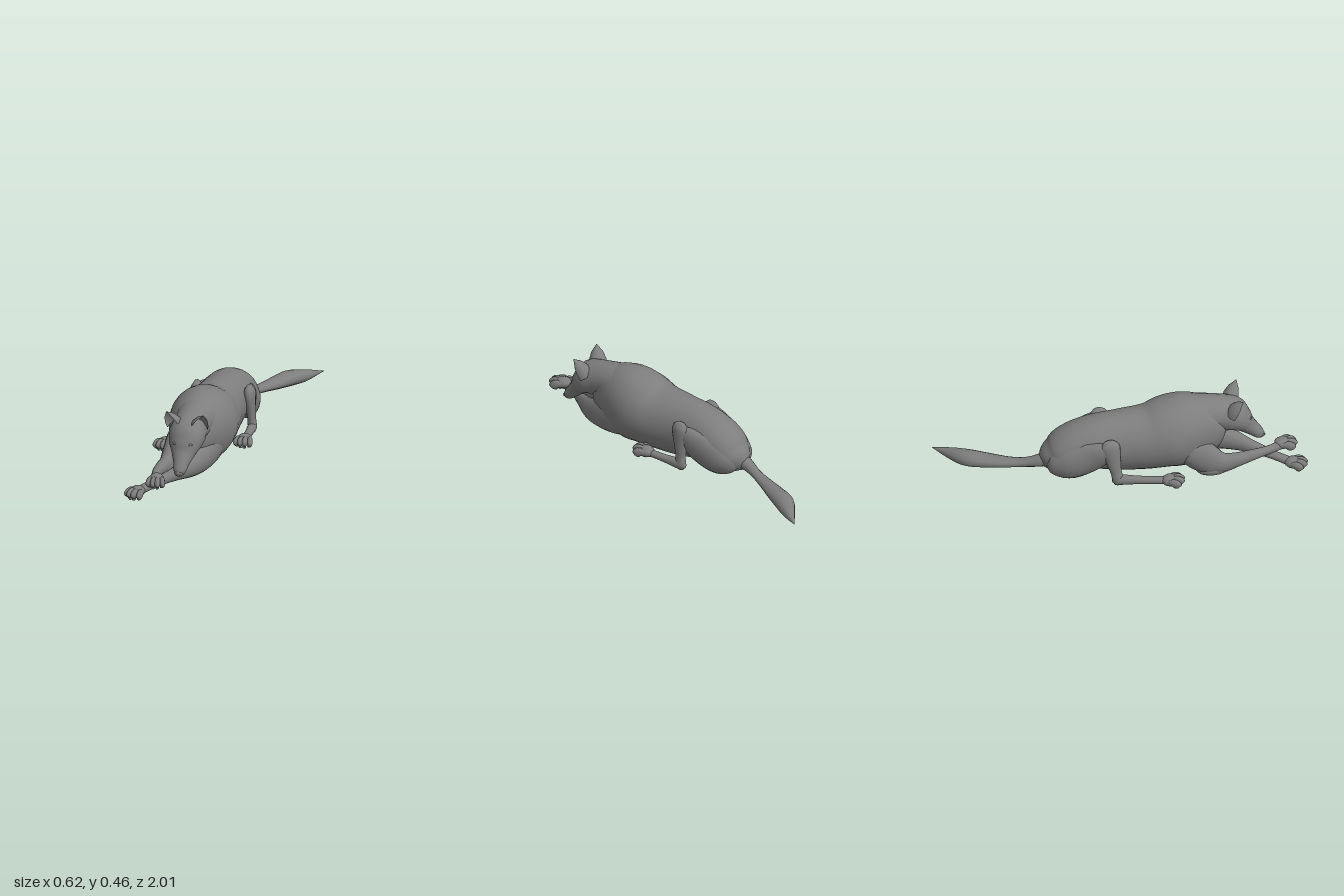
import * as THREE from 'three';

const material = new THREE.MeshStandardMaterial({ color: 0x7e7e7e });
const thinMaterial = new THREE.MeshStandardMaterial({ color: 0x7e7e7e, side: THREE.DoubleSide });
const X = new THREE.Vector3(1, 0, 0);

function add(parent, name, geometry, mat = material) {
  const mesh = new THREE.Mesh(geometry, mat);
  mesh.name = name;
  parent.add(mesh);
  return mesh;
}

// Smooth skin over elliptical sections [x, y, z, half width, half height]
function loft(sections, sides = 16, steps = 4) {
  const curve = (pick) => new THREE.CatmullRomCurve3(sections.map(pick), false, 'catmullrom', 0.5);
  const path = curve((s) => new THREE.Vector3(s[0], s[1], s[2]));
  const radii = curve((s) => new THREE.Vector3(s[3], s[4], 0));
  const rings = (sections.length - 1) * steps;
  const pos = [], index = [];
  for (let i = 0; i <= rings; i++) {
    const p = path.getPoint(i / rings), r = radii.getPoint(i / rings);
    const t = path.getTangent(i / rings);
    const n = t.clone().cross(X).normalize();
    const s = n.clone().cross(t);
    for (let j = 0; j < sides; j++) {
      const a = (j / sides) * Math.PI * 2;
      const v = p.clone().addScaledVector(s, Math.cos(a) * r.x).addScaledVector(n, Math.sin(a) * r.y);
      pos.push(v.x, v.y, v.z);
      if (i < rings) {
        const a0 = i * sides + j, b0 = i * sides + (j + 1) % sides;
        index.push(a0, b0, a0 + sides, b0, b0 + sides, a0 + sides);
      }
    }
  }
  // Close both ends
  const first = pos.length / 3, last = rings * sides;
  pos.push(...sections[0].slice(0, 3), ...sections[sections.length - 1].slice(0, 3));
  for (let j = 0; j < sides; j++) {
    const k = (j + 1) % sides;
    index.push(first, k, j, first + 1, last + j, last + k);
  }
  const g = new THREE.BufferGeometry();
  g.setAttribute('position', new THREE.Float32BufferAttribute(pos, 3));
  g.setIndex(index);
  g.computeVertexNormals();
  return g;
}

function ball(parent, name, x, y, z, rx, ry, rz) {
  const mesh = add(parent, name, new THREE.SphereGeometry(1, 12, 8));
  mesh.position.set(x, y, z);
  mesh.scale.set(rx, ry, rz);
  return mesh;
}

// Paw with four toes and pads, pointing along its own +z
function paw(parent, name, x, y, z, yaw, pitch = 0) {
  const g = new THREE.Group();
  g.name = name;
  ball(g, 'pawBack', 0, 0.002, -0.006, 0.042, 0.032, 0.052);
  for (let i = 0; i < 4; i++) {
    const u = i - 1.5, inner = Math.abs(u) < 1;
    const toe = add(g, 'toe', loft([
      [0, 0.004, -0.03, 0.01, 0.014], [0, 0.008, 0, 0.016, 0.024], [0, 0.001, 0.022, 0.016, 0.026],
      [0, -0.004, 0.036, 0.012, 0.019], [0, -0.008, 0.041, 0.003, 0.006],
    ], 10, 2));
    toe.position.set(u * 0.0225, inner ? 0.004 : -0.003, inner ? 0.026 : 0.01);
    toe.rotation.y = u * 0.13;
    ball(g, 'toePad', u * 0.022, -0.022, inner ? 0.043 : 0.026, 0.01, 0.008, 0.014);
  }
  ball(g, 'mainPad', 0, -0.025, -0.005, 0.022, 0.009, 0.018);
  g.position.set(x, y, z);
  g.rotation.set(pitch, yaw, 0, 'YXZ');
  parent.add(g);
}

export function createModel() {
  const model = new THREE.Group();
  model.name = 'lyingWolf';

  // Trunk from the sloping rump to the chest
  add(model, 'body', loft([
    [0, 0.105, -0.445, 0.025, 0.035], [0, 0.122, -0.41, 0.08, 0.075],
    [0, 0.142, -0.365, 0.112, 0.1], [-0.005, 0.18, -0.29, 0.135, 0.135],
    [-0.012, 0.212, -0.16, 0.142, 0.157], [-0.016, 0.21, 0, 0.15, 0.18],
    [-0.02, 0.214, 0.15, 0.173, 0.188], [-0.02, 0.235, 0.27, 0.188, 0.21],
    [-0.022, 0.24, 0.37, 0.172, 0.213], [-0.025, 0.22, 0.47, 0.132, 0.18],
    [-0.025, 0.185, 0.545, 0.08, 0.11], [-0.025, 0.175, 0.57, 0.02, 0.03],
  ], 24));

  // Neck, skull and muzzle in one sweep, bending down to the nose
  const head = new THREE.Group();
  head.name = 'head';
  model.add(head);
  add(head, 'neckAndHead', loft([
    [-0.015, 0.33, 0.38, 0.13, 0.112], [-0.015, 0.325, 0.48, 0.108, 0.108],
    [-0.015, 0.318, 0.56, 0.1, 0.1], [-0.015, 0.3, 0.62, 0.103, 0.098],
    [-0.015, 0.263, 0.665, 0.09, 0.074], [-0.015, 0.222, 0.7, 0.066, 0.051],
    [-0.015, 0.18, 0.74, 0.045, 0.04], [-0.015, 0.145, 0.772, 0.034, 0.031],
    [-0.015, 0.125, 0.788, 0.016, 0.016],
  ], 20));
  ball(head, 'nose', -0.015, 0.137, 0.79, 0.024, 0.016, 0.015);
  for (const s of [-1, 1]) {
    const eye = ball(head, 'eye', -0.015 + s * 0.042, 0.284, 0.713, 0.015, 0.008, 0.011);
    eye.rotation.z = s * 0.12;
    ball(head, 'nostril', -0.015 + s * 0.01, 0.136, 0.803, 0.005, 0.004, 0.004);
    // Cupped ear, leaning forward and outward, open to the front
    const profile = [[0.052, 0], [0.048, 0.035], [0.033, 0.075], [0, 0.117]];
    const ear = add(head, 'ear', new THREE.LatheGeometry(
      profile.map(([r, h]) => new THREE.Vector2(r, h)), 12, Math.PI * 0.42, Math.PI * 1.16), thinMaterial);
    ear.position.set(-0.015 + s * 0.066, 0.345, 0.625);
    ear.rotation.set(0.5, s * 0.3, -s * 0.38);
  }

  // Tail, thin at the root, bushy and pointed at the end
  add(model, 'tail', loft([
    [0, 0.14, -0.38, 0.05, 0.05], [0, 0.116, -0.45, 0.038, 0.037],
    [0.025, 0.095, -0.53, 0.03, 0.026], [0.06, 0.082, -0.62, 0.038, 0.025],
    [0.105, 0.074, -0.72, 0.05, 0.034], [0.155, 0.068, -0.82, 0.056, 0.042],
    [0.22, 0.06, -0.9, 0.037, 0.034], [0.304, 0.055, -1, 0.001, 0.001],
  ], 12));

  // Right foreleg lies over the left one
  add(model, 'rightForeleg', loft([
    [-0.1, 0.24, 0.26, 0.03, 0.04], [-0.13, 0.18, 0.36, 0.06, 0.09],
    [-0.147, 0.105, 0.46, 0.052, 0.09], [-0.155, 0.075, 0.54, 0.042, 0.063],
    [-0.16, 0.087, 0.62, 0.036, 0.044], [-0.155, 0.108, 0.73, 0.027, 0.03],
    [-0.14, 0.12, 0.82, 0.023, 0.024], [-0.118, 0.13, 0.89, 0.03, 0.026],
  ]));
  ball(model, 'rightElbow', -0.15, 0.04, 0.49, 0.043, 0.04, 0.095);
  paw(model, 'rightForepaw', -0.113, 0.13, 0.895, 0.12, 0.15);

  // Left foreleg crosses beneath toward the right
  add(model, 'leftForeleg', loft([
    [0.03, 0.2, 0.2, 0.04, 0.05], [0.062, 0.172, 0.34, 0.062, 0.1],
    [0.045, 0.14, 0.48, 0.062, 0.095], [0.01, 0.115, 0.6, 0.05, 0.068],
    [-0.06, 0.098, 0.71, 0.034, 0.04], [-0.14, 0.082, 0.82, 0.026, 0.026],
    [-0.202, 0.066, 0.91, 0.028, 0.024],
  ]));
  paw(model, 'leftForepaw', -0.215, 0.063, 0.934, -0.3, 0.05);

  // Hind legs: haunch up to the raised knee, shin to the heel, long foot forward
  const hindLegs = [
    { name: 'left', hip: 0.076, knee: [0.136, 0.27, -0.1], heel: [0.15, 0.068, -0.11], paw: [0.168, 0.084, 0.118], yaw: 0.05 },
    { name: 'right', hip: -0.095, knee: [-0.165, 0.265, -0.09], heel: [-0.19, 0.065, -0.05], paw: [-0.252, 0.066, 0.238], yaw: -0.2 },
  ];
  for (const { name, hip, knee: k, heel: h, paw: p, yaw } of hindLegs) {
    const mix = (a, b, t) => a.map((v, i) => v + (b[i] - v) * t);
    add(model, name + 'Thigh', loft([
      [hip * 0.55, 0.12, -0.42, 0.015, 0.025], [hip * 0.7, 0.125, -0.385, 0.05, 0.07],
      [hip * 0.95, 0.145, -0.3, 0.068, 0.102], [hip * 0.6 + k[0] * 0.4, 0.195, -0.19, 0.052, 0.095],
      [k[0] * 0.95, k[1] - 0.03, k[2] - 0.025, 0.034, 0.065], [k[0], k[1] - 0.015, k[2] + 0.04, 0.012, 0.02],
    ]));
    add(model, name + 'Shin', loft([
      [k[0], k[1] + 0.05, k[2] - 0.006, 0.012, 0.025], [k[0], k[1] + 0.01, k[2], 0.031, 0.054],
      [...mix(k, h, 0.4), 0.027, 0.042], [...mix(k, h, 0.75), 0.023, 0.031],
      [...h, 0.024, 0.032], [h[0], h[1] - 0.03, h[2] - 0.006, 0.012, 0.016],
    ]));
    add(model, name + 'Foot', loft([
      [h[0], h[1], h[2] - 0.032, 0.01, 0.014], [...h, 0.025, 0.031],
      [...mix(h, p, 0.4), 0.022, 0.024], [...mix(h, p, 0.75), 0.022, 0.021], [...p, 0.03, 0.022],
    ]));
    paw(model, name + 'HindPaw', p[0], p[1], p[2], yaw);
  }
  return model;
}
